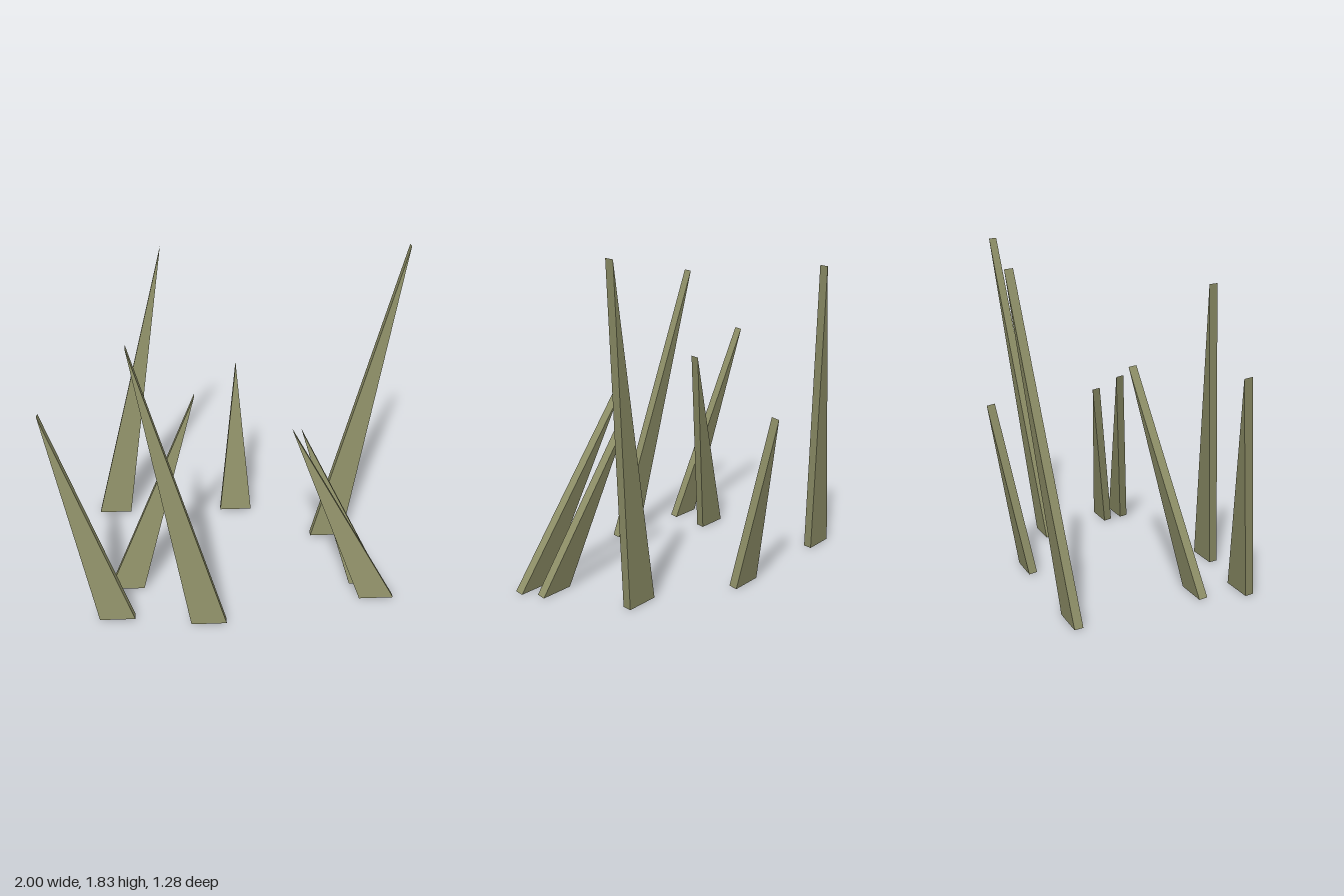
import * as THREE from 'three';

const THICK = 0.046;  // blade thickness
const WIDTH = 0.196;  // blade width at the base
const LEAN = 0.194;   // how far each tip leans back

// A flat tapering blade, leaning back, with its lower back edge on the ground
function makeBlade(baseX, frontZ, tipX, height, material) {
  const angle = Math.atan2(LEAN, height - 0.005);
  const length = LEAN / Math.sin(angle);
  const outline = new THREE.Shape([
    new THREE.Vector2(-WIDTH / 2, 0),
    new THREE.Vector2(WIDTH / 2, 0),
    new THREE.Vector2(tipX - baseX, length),
  ]);
  const geometry = new THREE.ExtrudeGeometry(outline, { depth: THICK, bevelEnabled: false });
  geometry.rotateX(-angle);
  const blade = new THREE.Mesh(geometry, material);
  blade.position.set(baseX, 0, frontZ - THICK * Math.cos(angle));
  return blade;
}

export function createModel() {
  const group = new THREE.Group();
  group.name = 'grassTuft';
  const grass = new THREE.MeshStandardMaterial({ color: 0x8f9068 });
  grass.name = 'dryGrassGreen';

  // base centre x, base front z, tip x, tip height
  const blades = [
    [-0.717, -0.4, -0.372, 1.725],
    [0.054, -0.39, 0.062, 0.965],
    [0.604, -0.105, 1.0, 1.83],
    [-0.61, 0.335, -0.198, 1.175],
    [-0.654, 0.586, -1.0, 1.225],
    [-0.145, 0.64, -0.528, 1.635],
    [0.777, 0.352, 0.389, 0.945],
    [0.816, 0.479, 0.325, 1.025],
  ];
  blades.forEach(([baseX, frontZ, tipX, height], i) => {
    const blade = makeBlade(baseX, frontZ, tipX, height, grass);
    blade.name = `grassBlade${i + 1}`;
    group.add(blade);
  });
  return group;
}
